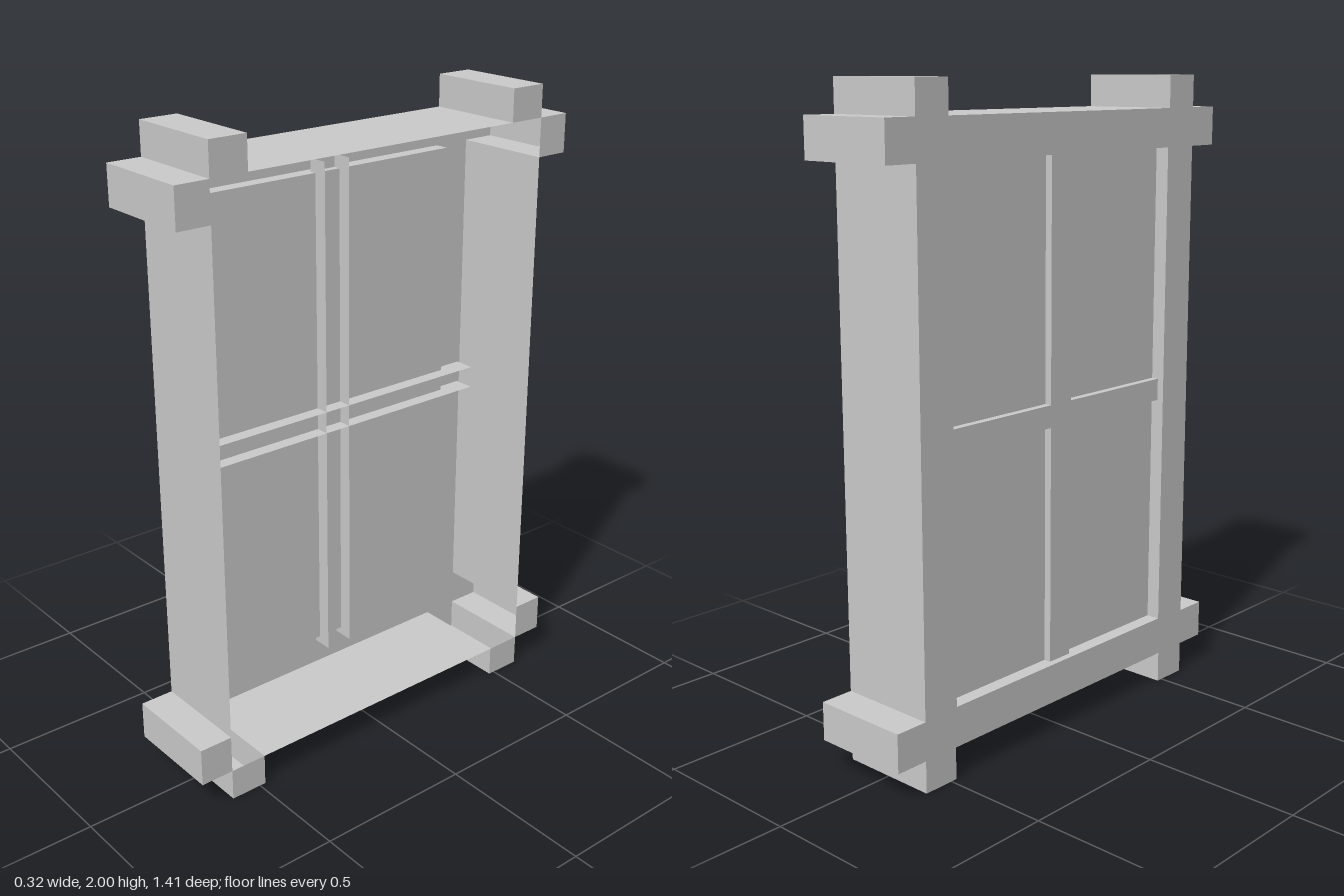
import * as THREE from 'three';

const material = new THREE.MeshStandardMaterial({ color: 0xcccccc, side: THREE.DoubleSide, flatShading: true });

// Depths along x
const FACE = -0.16, BACK = 0.16, GLASS = -0.115, BAR_FACE = -0.138, BAR_BACK = -0.071;

// Corners of a rectangle in the (z, y) plane
const rect = (z0, z1, y0, y1) => [[z0, y0], [z1, y0], [z1, y1], [z0, y1]];

// Flat sheet in the (z, y) plane at depth x, with an optional hole
function sheet(name, points, x, hole) {
  const toVec = ([z, y]) => new THREE.Vector2(z, y);
  const shape = new THREE.Shape(points.map(toVec));
  if (hole) shape.holes.push(new THREE.Path(hole.map(toVec)));
  const geometry = new THREE.ShapeGeometry(shape).rotateY(-Math.PI / 2).translate(x, 0, 0);
  const mesh = new THREE.Mesh(geometry, material);
  mesh.name = name;
  return mesh;
}

// Thin wall that follows a (z, y) path from depth x0 to x1
function wall(name, points, x0, x1, closed = true) {
  const positions = [];
  const count = closed ? points.length : points.length - 1;
  for (let i = 0; i < count; i++) {
    const [az, ay] = points[i];
    const [bz, by] = points[(i + 1) % points.length];
    positions.push(x0, ay, az, x1, ay, az, x1, by, bz);
    positions.push(x0, ay, az, x1, by, bz, x0, by, bz);
  }
  const geometry = new THREE.BufferGeometry();
  geometry.setAttribute('position', new THREE.Float32BufferAttribute(positions, 3));
  geometry.computeVertexNormals();
  const mesh = new THREE.Mesh(geometry, material);
  mesh.name = name;
  return mesh;
}

export function createModel() {
  const group = new THREE.Group();
  group.name = 'windowFrame';

  // Outline of the crossed beams: one corner, mirrored to all four
  const zIn = 0.48, zOut = 0.6, zTip = 0.707;
  const yIn = 0.78, yOut = 0.9, yTip = 1;
  const corner = [[zTip, yIn], [zTip, yOut], [zOut, yOut], [zOut, yTip], [zIn, yTip], [zIn, yOut]];
  corner.unshift([zOut, yIn]);
  const mirror = (sz, sy) => {
    const pts = corner.map(([z, y]) => [z * sz, 1 + y * sy]);
    return sz * sy > 0 ? pts : pts.reverse();
  };
  const outline = [...mirror(1, 1), ...mirror(-1, 1), ...mirror(-1, -1), ...mirror(1, -1)];
  const opening = rect(-0.475, 0.475, 0.225, 1.78);

  // Frame face, outer shell (open towards +x), reveal and pane
  group.add(sheet('frameFace', outline, FACE, opening));
  group.add(wall('outerShell', outline, FACE, BACK));
  group.add(wall('windowReveal', opening, FACE, GLASS));
  group.add(sheet('windowPane', opening, GLASS));

  // End caps on the projecting beam ends
  for (const sz of [-1, 1]) {
    for (const sy of [-1, 1]) {
      const cap = (name, z0, z1, y0, y1) => {
        const zs = [z0 * sz, z1 * sz].sort((a, b) => a - b);
        const ys = [1 + y0 * sy, 1 + y1 * sy].sort((a, b) => a - b);
        group.add(sheet(name, rect(...zs, ...ys), BACK));
      };
      cap('horizontalBeamEnd', zOut, zTip, yIn, yOut);
      cap('verticalBeamEnd', zIn, zOut, yOut, yTip);
    }
  }

  // Glazing bars: a face with two side strips, open at the ends and behind
  const bars = [
    ['verticalBar', rect(-0.045, 0.045, 0.2, 1.82), [[0, 3], [1, 2]]],
    ['horizontalBar', rect(-0.57, 0.57, 0.972, 1.042), [[0, 1], [3, 2]]],
  ];
  for (const [name, pts, sides] of bars) {
    const bar = new THREE.Group();
    bar.name = name;
    bar.add(sheet(name + 'Face', pts, BAR_FACE));
    for (const [a, b] of sides) bar.add(wall(name + 'Side', [pts[a], pts[b]], BAR_FACE, BAR_BACK, false));
    group.add(bar);
  }
  return group;
}
